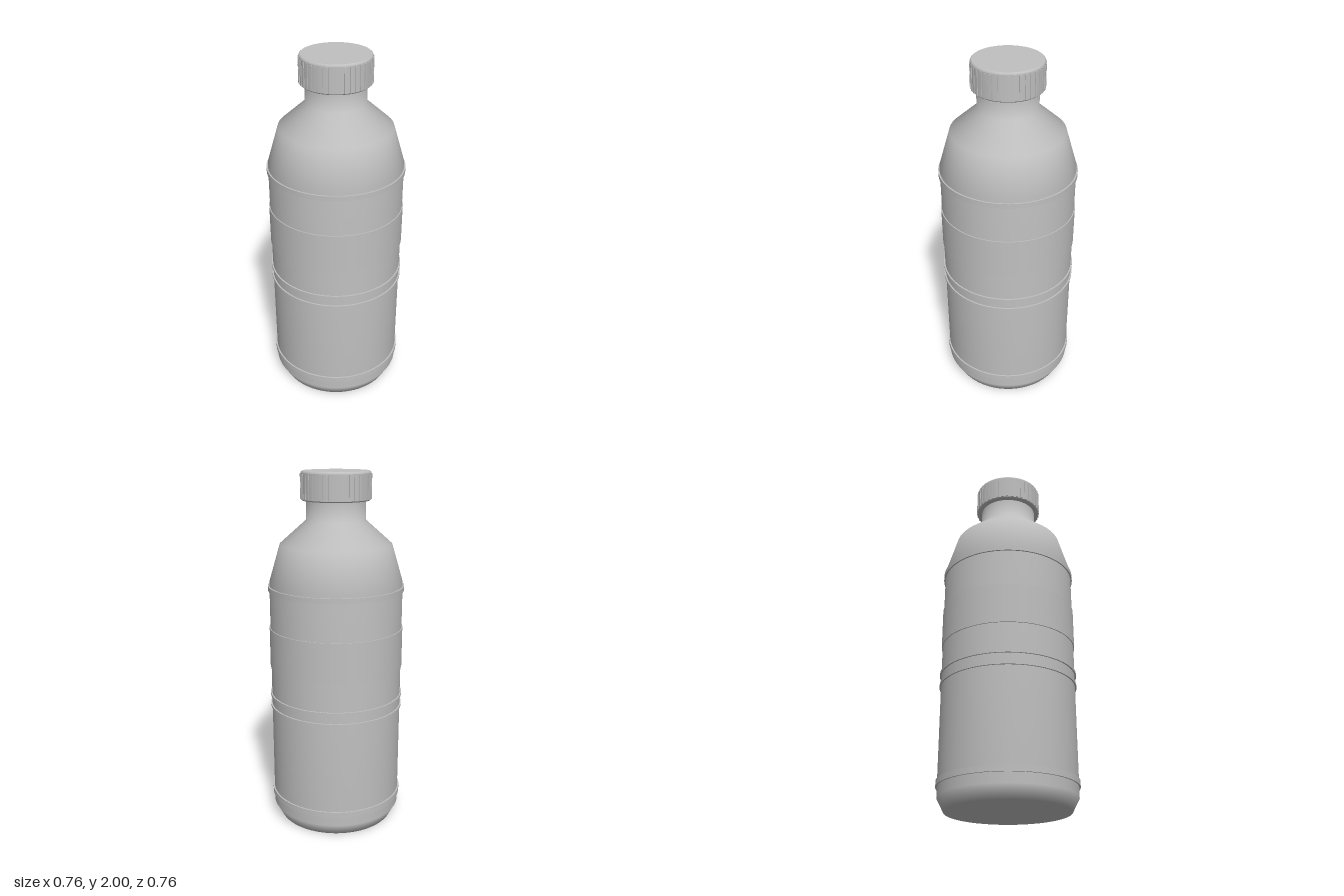
import * as THREE from 'three';

const SEGMENTS = 96;

export function createModel() {
  const bottle = new THREE.Group();
  bottle.name = 'bottle';
  const grey = new THREE.MeshStandardMaterial({ color: 0xc0c0c0 });
  grey.name = 'grey plastic';

  const add = (geometry, name, parent = bottle) => {
    const mesh = new THREE.Mesh(geometry, grey);
    mesh.name = name;
    parent.add(mesh);
    return mesh;
  };
  // Turned part from [radius, height] points, listed bottom to top
  const lathe = (points) =>
    new THREE.LatheGeometry(points.map(([r, y]) => new THREE.Vector2(r, y)), SEGMENTS);

  // Body: chamfered foot, straight wall, two-step shoulder and neck
  add(lathe([
    [0, 0], [0.335, 0], [0.372, 0.07], [0.372, 1.4],
    [0.31, 1.61], [0.163, 1.74], [0.163, 1.86],
  ]), 'body');

  // Raised bands: [name, bottom, top, radius]
  const bands = [
    ['footBand', 0.125, 0.158, 0.38],
    ['lowerWaistRing', 0.677, 0.691, 0.38],
    ['upperWaistRing', 0.743, 0.757, 0.38],
    ['labelBand', 0.917, 1.145, 0.377],
    ['shoulderBand', 1.355, 1.383, 0.38],
  ];
  for (const [name, y0, y1, r] of bands) {
    const band = new THREE.CylinderGeometry(r, r, y1 - y0, SEGMENTS);
    add(band, name).position.y = (y0 + y1) / 2;
  }

  // Cap: closed disc with softened rims
  const cap = new THREE.Group();
  cap.name = 'cap';
  bottle.add(cap);
  add(lathe([
    [0.15, 1.845], [0.184, 1.845], [0.184, 1.845], [0.19, 1.851], [0.19, 1.851],
    [0.19, 1.989], [0.19, 1.989], [0.188, 1.996], [0.183, 2], [0.183, 2], [0, 2],
  ]), 'capShell', cap);

  // Grip ribs around the cap
  const ribCount = 40;
  const rib = new THREE.BoxGeometry(0.012, 0.132, 0.012);
  for (let i = 0; i < ribCount; i++) {
    const a = (i / ribCount) * Math.PI * 2;
    const mesh = add(rib, 'capRib', cap);
    mesh.position.set(Math.sin(a) * 0.188, 1.919, Math.cos(a) * 0.188);
    mesh.rotation.y = a;
  }
  return bottle;
}
